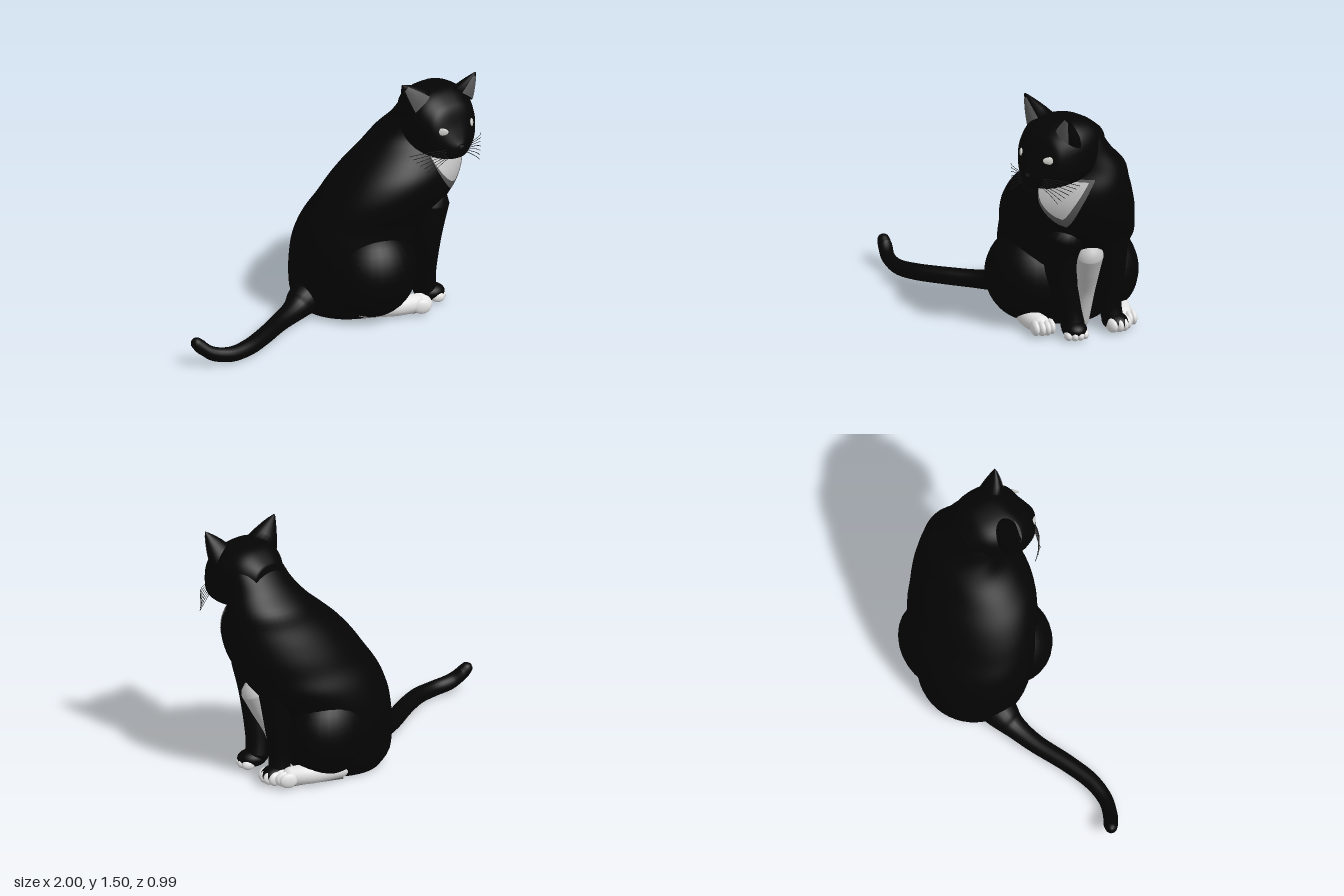
import * as THREE from 'three';

const mat = (name, color) => Object.assign(new THREE.MeshStandardMaterial({ color, side: THREE.DoubleSide }), { name });
const V = (x, y, z) => new THREE.Vector3(x, y, z);

// Catmull-Rom smoothing of rows of numbers
function smoothRows(rows, n) {
  const out = [], last = rows.length - 1;
  const at = i => rows[Math.max(0, Math.min(last, i))];
  for (let s = 0; s < last; s++) for (let k = 0; k < n; k++) {
    const t = k / n;
    out.push(rows[s].map((p1, j) => {
      const p0 = at(s - 1)[j], p2 = at(s + 1)[j], p3 = at(s + 2)[j];
      return p1 + 0.5 * t * (p2 - p0 + t * (2 * p0 - 5 * p1 + 4 * p2 - p3 + t * (3 * (p1 - p2) + p3 - p0)));
    }));
  }
  out.push(rows[last]);
  return out;
}

// Closed skin over rings { c, a, b }, advancing along a x b; power below 1 squares the rings
function loft(rings, seg = 32, power = 1) {
  const pos = [], idx = [], w = seg;
  const bend = v => Math.sign(v) * Math.pow(Math.abs(v), power);
  for (const { c, a, b } of rings) for (let i = 0; i < seg; i++) {
    const t = (i / seg) * Math.PI * 2;
    const p = c.clone().addScaledVector(a, bend(Math.cos(t))).addScaledVector(b, bend(Math.sin(t)));
    pos.push(p.x, p.y, p.z);
  }
  for (let r = 0; r < rings.length - 1; r++) for (let i = 0; i < seg; i++) {
    const p = r * w + i, q = r * w + (i + 1) % seg;
    idx.push(p, q, q + w, p, q + w, p + w);
  }
  const end = (r, flip) => {
    const { c } = rings[r], k = pos.length / 3;
    pos.push(c.x, c.y, c.z);
    for (let i = 0; i < seg; i++) {
      const p = r * w + i, q = r * w + (i + 1) % seg;
      idx.push(k, flip ? q : p, flip ? p : q);
    }
  };
  end(0, true);
  end(rings.length - 1, false);
  const g = new THREE.BufferGeometry();
  g.setAttribute('position', new THREE.Float32BufferAttribute(pos, 3));
  g.setIndex(idx);
  g.computeVertexNormals();
  return g;
}

// Limb along points [x, y, z, radius] with rounded ends
function limb(points, steps = 8, seg = 20) {
  const rows = smoothRows(points, steps);
  const curve = new THREE.CatmullRomCurve3(rows.map(p => V(p[0], p[1], p[2])));
  const n = rows.length - 1, f = curve.computeFrenetFrames(n), rings = [];
  const add = (i, along, k) => {
    const r = rows[i][3];
    rings.push({
      c: V(...rows[i].slice(0, 3)).addScaledVector(f.tangents[i], along * r),
      a: f.normals[i].clone().multiplyScalar(r * k), b: f.binormals[i].clone().multiplyScalar(r * k),
    });
  };
  [[-0.85, 0.2], [-0.65, 0.6], [-0.35, 0.88]].forEach(e => add(0, ...e));
  for (let i = 0; i <= n; i++) add(i, 0, 1);
  [[0.35, 0.88], [0.65, 0.6], [0.85, 0.2]].forEach(e => add(n, ...e));
  return loft(rings, seg);
}

// Torso bounds: y, xMin, xMax, zMin, zMax
const TORSO = smoothRows([
  [0.015, 0.06, 0.6, -0.42, 0.13], [0.1, 0.0, 0.66, -0.47, 0.17], [0.25, -0.02, 0.69, -0.48, 0.2],
  [0.4, -0.02, 0.74, -0.475, 0.23], [0.5, -0.01, 0.82, -0.46, 0.25], [0.6, 0.02, 0.9, -0.43, 0.27],
  [0.7, 0.07, 0.95, -0.38, 0.32], [0.8, 0.13, 0.985, -0.34, 0.35], [0.9, 0.21, 1.0, -0.29, 0.35],
  [1.0, 0.32, 1.0, -0.23, 0.31], [1.1, 0.44, 0.98, -0.18, 0.25], [1.2, 0.51, 0.94, -0.08, 0.24],
  [1.3, 0.55, 0.91, 0.0, 0.24], [1.38, 0.6, 0.86, 0.08, 0.24],
], 4);
const torsoRing = ([y, x0, x1, z0, z1], k = 1) => ({
  c: V((x0 + x1) / 2, y, (z0 + z1) / 2), a: V(0, 0, (z1 - z0) / 2 * k), b: V((x1 - x0) / 2 * k, 0, 0),
});

// Thin patch lying on the torso, tapering from yTop to yTip; angles run from +z towards +x
function chestPatch(yTop, yTip, a0, a1, aTip, k) {
  const g = new THREE.PlaneGeometry(1, 1, 20, 20), p = g.attributes.position;
  for (let i = 0; i < p.count; i++) {
    const u = p.getX(i) + 0.5, v = 0.5 - p.getY(i);
    const y = yTop + (yTip - yTop) * v;
    const j = Math.max(1, TORSO.findIndex(r => r[0] >= y)), lo = TORSO[j - 1], hi = TORSO[j];
    const t = (y - lo[0]) / (hi[0] - lo[0]);
    const { c, a, b } = torsoRing(lo.map((s, m) => s + (hi[m] - s) * t), k);
    const ang = THREE.MathUtils.degToRad(aTip + (a0 + (a1 - a0) * u - aTip) * Math.pow(1 - v, 0.7));
    c.addScaledVector(a, Math.cos(ang)).addScaledVector(b, Math.sin(ang));
    p.setXYZ(i, c.x, c.y, c.z);
  }
  g.computeVertexNormals();
  return g;
}

export function createModel() {
  const cat = new THREE.Group();
  cat.name = 'sittingCat';
  const black = mat('blackFur', 0x040404), white = mat('whiteFur', 0xe4e4e4), pale = mat('paleFur', 0xc4c4c4);
  const grey = mat('greySkin', 0x585858), eyeMat = mat('eyeGrey', 0xc8c8c4), dark = mat('darkGrey', 0x1c1c1c);
  const add = (name, geo, m) => {
    const mesh = new THREE.Mesh(geo, m);
    mesh.name = name;
    cat.add(mesh);
    return mesh;
  };
  const ball = (name, m, [x, y, z], [rx, ry, rz], turn = 0) => {
    const b = add(name, new THREE.SphereGeometry(1, 28, 20), m);
    b.position.set(x, y, z);
    b.scale.set(rx, ry, rz);
    b.rotation.y = -turn;
    return b;
  };

  // Torso, haunches, tail
  add('torso', loft(TORSO.map(r => torsoRing(r)), 48), black);
  ball('rightHaunch', black, [0.325, 0.3, 0.1], [0.275, 0.285, 0.255]);
  ball('leftHaunch', black, [0.52, 0.3, -0.27], [0.28, 0.285, 0.22]);
  add('tail', limb([[0.12, 0.14, -0.17, 0.12], [0, 0.115, -0.15, 0.1], [-0.1, 0.08, -0.125, 0.07],
    [-0.25, 0.064, -0.075, 0.056], [-0.45, 0.06, 0.015, 0.052], [-0.62, 0.056, 0.075, 0.05], [-0.76, 0.054, 0.085, 0.047],
    [-0.87, 0.075, 0.05, 0.046], [-0.93, 0.12, 0.015, 0.043], [-0.963, 0.155, -0.002, 0.036]]), black);

  // Bib, belly stripe and belly underside
  add('bibEdge', chestPatch(1.065, 0.755, -16, 54, 36, 1.012), grey);
  add('bib', chestPatch(1.05, 0.81, -15, 47, 32, 1.022), pale);
  add('bellyStripe', limb([[0.79, 0.53, 0.07, 0.085], [0.755, 0.42, 0.045, 0.07],
    [0.7, 0.25, 0.005, 0.05], [0.66, 0.06, 0, 0.042]]), pale);
  const belly = add('bellyUnderside', new THREE.CylinderGeometry(1, 1, 0.008, 32), pale);
  belly.position.set(0.42, 0.014, -0.13);
  belly.scale.set(0.2, 1, 0.13);
  belly.rotation.y = -0.6;

  // Front legs with white toes
  const frontLegs = {
    right: { path: [[0.69, 0.66, 0.18, 0.13], [0.665, 0.45, 0.19, 0.095], [0.69, 0.2, 0.145, 0.073], [0.71, 0.08, 0.13, 0.072]],
      turn: 0.5, reach: 0.088, toe: [0.04, 0.03, 0.024], y: 0.04 },
    left: { path: [[0.81, 0.66, -0.1, 0.105], [0.795, 0.42, -0.115, 0.085], [0.775, 0.2, -0.12, 0.07], [0.79, 0.08, -0.125, 0.065]],
      turn: 0.15, reach: 0.08, toe: [0.05, 0.043, 0.025], y: 0.055 },
  };
  for (const [side, { path, turn, reach, toe, y }] of Object.entries(frontLegs)) {
    const [x, , z] = path[3], c = Math.cos(turn), d = Math.sin(turn);
    add(side + 'FrontLeg', limb(path), black);
    ball(side + 'FrontPaw', black, [x + 0.03 * c, 0.064, z + 0.03 * d], [0.09, 0.053, 0.075], turn);
    for (let i = 0; i < 4; i++) {
      const s = (i - 1.5) * 0.034, f = reach - 7 * s * s;
      ball(side + 'FrontToe', white, [x + c * f - d * s, y, z + d * f + c * s], toe, turn);
    }
  }

  // Hind feet with toes and soles
  const hindFeet = {
    right: [[0.22, 0.067, 0.07, 0.052], [0.41, 0.073, 0.2, 0.06], [0.555, 0.067, 0.235, 0.056]],
    left: [[0.5, 0.067, -0.36, 0.052], [0.68, 0.075, -0.295, 0.062], [0.795, 0.067, -0.215, 0.056]],
  };
  for (const [side, path] of Object.entries(hindFeet)) {
    add(side + 'HindFoot', limb(path), white);
    const [h, , t] = path, dx = t[0] - h[0], dz = t[2] - h[2], len = Math.hypot(dx, dz);
    const turn = Math.atan2(dz, dx);
    for (let i = 0; i < 4; i++) {
      const s = (i - 1.5) * 0.033, f = 0.04 - 7 * s * s;
      ball(side + 'HindToe', white,
        [t[0] + dx / len * f - dz / len * s, 0.06, t[2] + dz / len * f + dx / len * s], [0.056, 0.046, 0.024], turn);
    }
    const sole = add(side + 'Sole', new THREE.BoxGeometry(len, 0.009, 0.065), grey);
    sole.position.set((h[0] + t[0]) / 2, 0.018, (h[2] + t[2]) / 2);
    sole.rotation.y = -turn;
  }

  // Head: z, centre x, centre y, half width, half height
  const head = smoothRows([
    [0.0, 0.73, 1.24, 0.12, 0.1], [0.1, 0.72, 1.24, 0.19, 0.17], [0.2, 0.71, 1.23, 0.22, 0.2],
    [0.3, 0.7, 1.22, 0.22, 0.203], [0.38, 0.697, 1.195, 0.188, 0.178], [0.42, 0.695, 1.175, 0.158, 0.15],
    [0.45, 0.69, 1.135, 0.11, 0.102], [0.478, 0.688, 1.108, 0.068, 0.06], [0.495, 0.686, 1.105, 0.03, 0.03],
  ], 5);
  add('head', loft(head.map(([z, x, y, w, h]) => ({ c: V(x, y, z), a: V(w, 0, 0), b: V(0, h, 0) })), 48, 0.8), black);
  ball('nose', dark, [0.686, 1.118, 0.487], [0.024, 0.016, 0.012]);

  // Ears: base centre, tip, half depth, half width
  const ears = {
    right: [V(0.555, 1.355, 0.235), V(0.432, 1.505, 0.25), V(0, 0, 0.08), V(0.08, 0.07, 0.01)],
    left: [V(0.845, 1.35, 0.3), V(0.9, 1.5, 0.37), V(0, 0.01, 0.07), V(0.072, -0.055, -0.01)],
  };
  for (const [side, s] of [['right', -1], ['left', 1]]) {
    // Eyes
    const eye = ball(side + 'Eye', eyeMat, [0.696 + s * 0.118, 1.225, 0.436], [0.042, 0.023, 0.009]);
    eye.rotation.set(-0.2, s * 0.8, s * 0.12);

    const [base, tip, depth, wide] = ears[side];
    const rings = [0, 0.3, 0.6, 0.85, 1].map(t => {
      const k = 1.02 - t * (0.7 + 0.27 * t);
      return { c: base.clone().lerp(tip, t), a: depth.clone().multiplyScalar(k), b: wide.clone().multiplyScalar(k) };
    });
    add(side + 'Ear', loft(rings, 24), black);

    // Inner ear, just above the front of the ear
    const inner = new THREE.BufferGeometry(), pts = [], idx = [];
    rings.slice(0, 4).forEach(({ c, a, b }) => {
      for (let i = -4; i <= 4; i++) {
        const ang = i * 0.17;
        const p = c.clone().addScaledVector(a, Math.cos(ang) * 1.06).addScaledVector(b, Math.sin(ang));
        pts.push(p.x, p.y, p.z + 0.003);
      }
    });
    for (let r = 0; r < 3; r++) for (let i = 0; i < 8; i++) {
      const p = r * 9 + i;
      idx.push(p, p + 1, p + 10, p, p + 10, p + 9);
    }
    inner.setAttribute('position', new THREE.Float32BufferAttribute(pts, 3));
    inner.setIndex(idx);
    inner.computeVertexNormals();
    add(side + 'InnerEar', inner, grey);

    // Whiskers
    for (let i = 0; i < 7; i++) {
      const x = 0.688 + s * 0.06, y = 1.1 - i * 0.007, reach = 0.22 - 0.015 * i;
      const curve = new THREE.QuadraticBezierCurve3(V(x, y, 0.46),
        V(x + s * reach * 0.55, y + 0.035 - i * 0.012, 0.47 - i * 0.005),
        V(x + s * reach, y - 0.02 - i * 0.012, 0.34 + i * 0.016));
      add(side + 'Whisker', new THREE.TubeGeometry(curve, 10, 0.0018, 4), dark);
    }
  }
  return cat;
}
